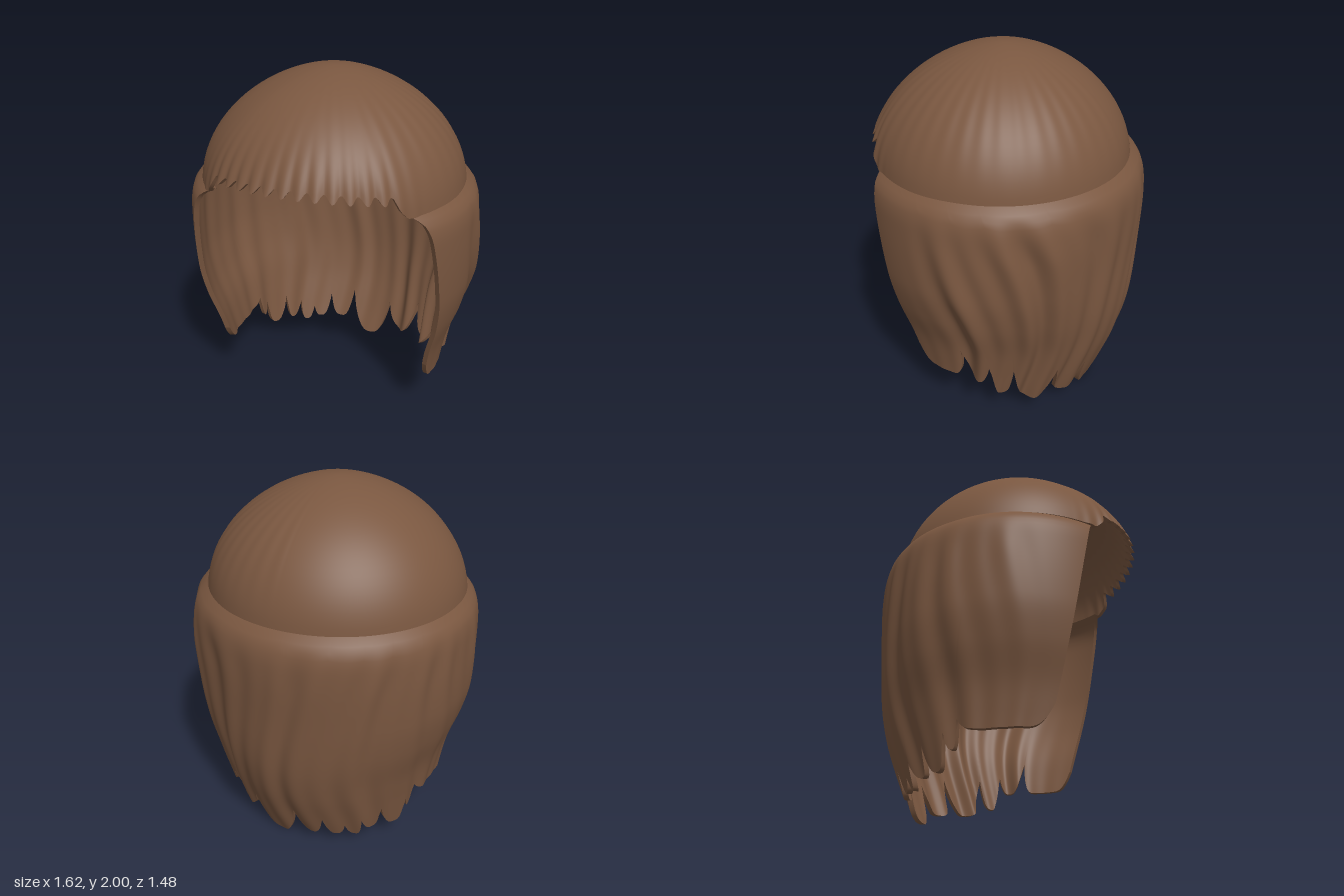
import * as THREE from 'three';
import { mergeVertices } from 'three/addons/utils/BufferGeometryUtils.js';

const rad = Math.PI / 180;
const step = THREE.MathUtils.smoothstep;

// Smooth lookup in a table of [key, value] pairs with falling keys
function lookup(table, key) {
  const n = table.length - 1;
  if (key >= table[0][0]) return table[0][1];
  if (key <= table[n][0]) return table[n][1];
  let i = 0;
  while (table[i + 1][0] > key) i++;
  const slope = (k) => {
    const a = table[Math.max(k - 1, 0)], b = table[Math.min(k + 1, n)];
    return (b[1] - a[1]) / (b[0] - a[0]);
  };
  const [k0, v0] = table[i], [k1, v1] = table[i + 1];
  const h = k1 - k0, t = (key - k0) / h, t2 = t * t, t3 = t2 * t;
  return v0 * (2 * t3 - 3 * t2 + 1) + v1 * (3 * t2 - 2 * t3)
    + h * (slope(i) * (t3 - 2 * t2 + t) + slope(i + 1) * (t3 - t2));
}

// Grid surface from a rule f(u, v) => [x, y, z]
function surface(f, nu, nv) {
  const pos = [], idx = [];
  for (let j = 0; j <= nv; j++) {
    for (let i = 0; i <= nu; i++) pos.push(...f(i / nu, j / nv));
  }
  for (let j = 0; j < nv; j++) {
    for (let i = 0; i < nu; i++) {
      const a = j * (nu + 1) + i, b = a + 1, c = a + nu + 1, d = c + 1;
      idx.push(a, c, b, b, c, d);
    }
  }
  let geo = new THREE.BufferGeometry();
  geo.setAttribute('position', new THREE.Float32BufferAttribute(pos, 3));
  geo.setIndex(idx);
  geo = mergeVertices(geo, 1e-5);
  geo.computeVertexNormals();
  return geo;
}

// Half width and half depth of the hanging hair at each height
const WIDTH = [[1.42, 0.715], [1.37, 0.77], [1.25, 0.795], [0.9, 0.79], [0.7, 0.75],
  [0.5, 0.685], [0.35, 0.655], [0.2, 0.635], [0, 0.61]];
const DEPTH = [[1.42, 0.685], [1.37, 0.74], [1.25, 0.767], [0.9, 0.757], [0.6, 0.74],
  [0.4, 0.7], [0.2, 0.63], [0, 0.55]];
// z of the front edge of the side panels
const EDGE = [[1.42, 0.51], [1.2, 0.475], [0.8, 0.4], [0.4, 0.3], [0.2, 0.25]];
const CENTRE = 0.04;
const SPAN = 110;

// Gaps between locks as [angle from the back, height], and the lock tip heights between them
const GAPS = [[-110, 0.4], [-71, 0.34], [-65, 0.28], [-51, 0.26], [-40, 0.2], [-31, 0.15], [-20, 0.22],
  [-5, 0.26], [20, 0.24], [41, 0.32], [62, 0.35], [73, 0.38], [85, 0.47], [110, 0.4]];
const TIPS = [0.28, 0.2, 0.11, 0.11, 0.07, 0.08, 0.08, 0, 0.09, 0.12, 0.17, 0.28, 0.28];

function hemHeight(deg) {
  let i = 0;
  while (i < TIPS.length - 1 && GAPS[i + 1][0] < deg) i++;
  const [a, ya] = GAPS[i], [b, yb] = GAPS[i + 1];
  const s = THREE.MathUtils.clamp((2 * (deg - a)) / (b - a) - 1, -1, 1);
  const power = b - a > 24 && TIPS[i] > 0.2 ? 7 : 3;
  return TIPS[i] + ((s < 0 ? ya : yb) - TIPS[i]) * Math.abs(s) ** power;
}

// Hanging hair: d = 0 is the outer face, d = 1 the inner face
function curtainPoint(u, v, d) {
  const side = 2 * u - 1;
  const y = THREE.MathUtils.lerp(1.42, hemHeight(side * SPAN), v);
  const depth = lookup(DEPTH, y), width = lookup(WIDTH, y);
  const a = side * Math.acos((CENTRE - lookup(EDGE, y)) / depth);
  const deg = a / rad;
  // wavy folds, strongest at the back left, fading at the top and the panel edges
  const drift = 0.09 * Math.sin(3.6 * y + 2 * a) + 0.08 * y * Math.sign(a) * step(Math.abs(a), 0, 0.8);
  const q = a - drift;
  const strength = step(1.41 - y, 0, 0.3) * (1 - step(Math.abs(deg), 85, 112))
    * (0.6 + 0.9 * step(deg, 20, 50) * (1 - step(deg, 75, 95)));
  const fold = 0.011 * Math.sin(19 * q + 0.6) + 0.008 * Math.sin(31 * q + 2) + 0.005 * Math.sin(11 * q);
  const out = fold * strength - 0.028 * d;
  return [(width + out) * Math.sin(a), y, CENTRE - (depth + out) * Math.cos(a)];
}

// Lower edge of the cap: level behind, raised and scalloped at the fringe
function capEdge(phi) {
  const f = Math.abs(phi);
  const fringe = 1.552 - 0.045 * (f / 45) ** 2 + 0.019 * Math.cos(phi * 53 * rad);
  return THREE.MathUtils.lerp(fringe, 1.415, step(f, 41, 48));
}

function capPoint(u, v, d) {
  const phi = 360 * u - 180;
  const end = Math.asin((capEdge(phi) - 1.36) / 0.64);
  const a = THREE.MathUtils.lerp(Math.PI / 2, end, v);
  const front = 1 - step(Math.abs(phi), 38, 60);
  const ripple = 0.008 * front * v ** 6 * Math.cos(phi * 53 * rad)
    + 0.0025 * Math.sin(phi * 40 * rad) * Math.sin(Math.PI * v) ** 2 * step(phi, -30, 60);
  const c = Math.max(Math.cos(a), 0) ** 1.15;
  const r = (0.72 - ripple - 0.025 * d) * c;
  const y = 1.36 + 0.64 * Math.sin(a) - 0.025 * d * Math.sin(a) * (1 - v);
  return [r * Math.sin(phi * rad), y, 0.055 + 0.02 * c * front + 0.97 * r * Math.cos(phi * rad)];
}

export function createModel() {
  const model = new THREE.Group();
  const brown = new THREE.MeshStandardMaterial({ color: 0x7a5740, side: THREE.DoubleSide });
  brown.name = 'brown hair';

  function shell(name, point, nu, nv, hasSides) {
    const group = new THREE.Group();
    group.name = name;
    const add = (part, f, a, b) => {
      const mesh = new THREE.Mesh(surface(f, a, b), brown);
      mesh.name = name + part;
      group.add(mesh);
    };
    add('Outside', (u, v) => point(u, v, 0), nu, nv);
    add('Inside', (u, v) => point(1 - u, v, 1), nu, nv);
    add('LowerRim', (u, v) => point(u, 1, v), nu, 1);
    if (hasSides) {
      add('RightRim', (u, v) => point(0, v, 1 - u), 1, nv);
      add('LeftRim', (u, v) => point(1, v, u), 1, nv);
    }
    model.add(group);
  }

  shell('cap', capPoint, 432, 24, false);
  shell('hangingHair', curtainPoint, 440, 40, true);
  return model;
}
